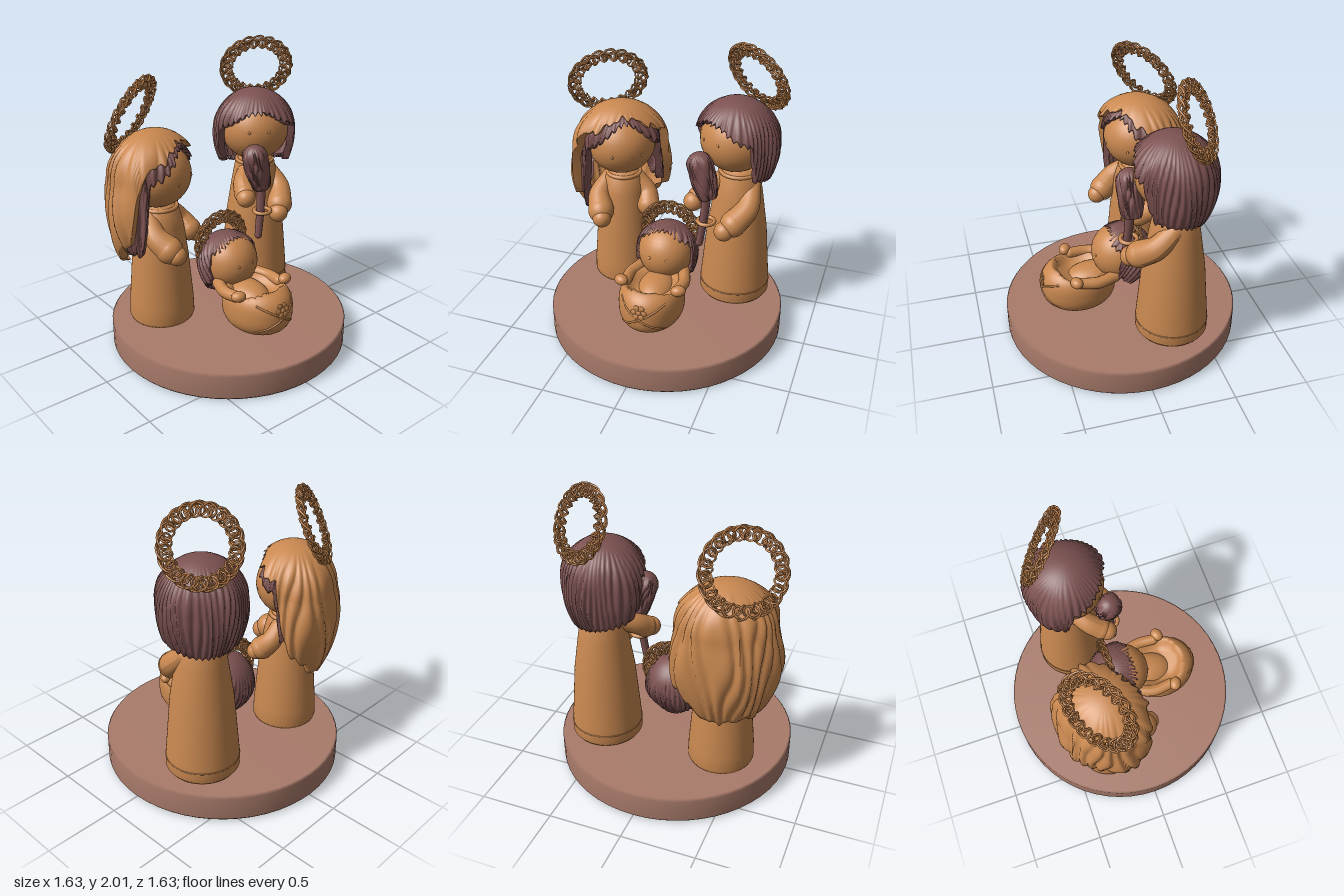
import * as THREE from 'three';

const V = (x, y, z) => new THREE.Vector3(x, y, z);
const mat = (name, color) => new THREE.MeshStandardMaterial({ name, color, side: THREE.DoubleSide });
const smooth = (x, a, b) => THREE.MathUtils.smoothstep(x, a, b);

export function createModel() {
  const model = new THREE.Group();
  model.name = 'familyFigurines';
  const clay = mat('warm clay', 0xc98850);
  const hairMat = mat('plum brown hair', 0x7b5150);
  const baseMat = mat('dusty brown base', 0xa97b6b);

  const add = (parent, name, geo, m, x = 0, y = 0, z = 0) => {
    const mesh = new THREE.Mesh(geo, m);
    mesh.name = name;
    mesh.position.set(x, y, z);
    parent.add(mesh);
    return mesh;
  };
  const group = (name, x, y, z, yaw = 0, pitch = 0) => {
    const g = new THREE.Group();
    g.name = name;
    g.position.set(x, y, z);
    g.rotation.set(pitch, yaw, 0, 'YXZ');
    model.add(g);
    return g;
  };
  const ball = (parent, name, m, r, x, y, z, sx = 1, sy = 1, sz = 1) => {
    const b = add(parent, name, new THREE.SphereGeometry(r, 32, 20), m, x, y, z);
    b.scale.set(sx, sy, sz);
    return b;
  };
  const lathe = (pts) => new THREE.LatheGeometry(pts.map(p => new THREE.Vector2(...p)), 56);

  // Tapered tube with rounded ends
  const limb = (parent, name, m, pts, r0, r1) => {
    const curve = new THREE.CatmullRomCurve3(pts);
    const sides = 16, geo = new THREE.TubeGeometry(curve, 14, 1, sides);
    const pos = geo.attributes.position, p = V();
    for (let i = 0; i < pos.count; i++) {
      const u = Math.floor(i / (sides + 1)) / 14, c = curve.getPointAt(u);
      p.fromBufferAttribute(pos, i).sub(c).multiplyScalar(r0 + (r1 - r0) * u).add(c);
      pos.setXYZ(i, p.x, p.y, p.z);
    }
    geo.computeVertexNormals();
    add(parent, name, geo, m);
    ball(parent, name + 'Start', m, r0, ...pts[0].toArray());
    ball(parent, name + 'End', m, r1, ...pts.at(-1).toArray());
  };

  // Domed sheet hanging from a crown; hem(phi) is how far it reaches, phi = 0 is the front
  const drape = (r, hem, flare, ripple, strands) => {
    const cols = 180, rows = 30, geo = new THREE.PlaneGeometry(1, 1, cols, rows);
    const pos = geo.attributes.position, uv = geo.attributes.uv;
    for (let i = 0; i < pos.count; i++) {
      const phi = (uv.getX(i) - 0.5) * Math.PI * 2;
      const k = Math.round((1 - uv.getY(i)) * rows);
      const a = hem(phi) * Math.min(1, k / (rows - 1)), d = Math.max(0, a - Math.PI / 2);
      const turn = strands * phi / 2 + 1.5 * Math.sin(3 * phi + a) + 0.9 * Math.sin(7 * phi - 2 * a);
      const wave = Math.abs(Math.sin(turn)) - 0.6 + 0.3 * Math.sin(5 * phi + 2 * a);
      let rad = r * (d > 0 ? flare(d) : Math.sin(a)) * (1 + ripple * wave * smooth(a, 0.1, 1.3));
      if (k === rows) rad *= 0.82; // tucked-under edge
      pos.setXYZ(i, Math.sin(phi) * rad, d > 0 ? -d * r : r * Math.cos(a), Math.cos(phi) * rad);
    }
    geo.computeVertexNormals();
    return geo;
  };

  // Ring of looping wire
  class LoopedRing extends THREE.Curve {
    constructor(R, c, n, phase) { super(); Object.assign(this, { R, c, n, phase }); }
    getPoint(t, out = V()) {
      const a = t * Math.PI * 2, w = a * this.n + this.phase;
      const r = this.R + this.c * Math.cos(w), b = a + (this.c / this.R) * 1.1 * Math.sin(w);
      return out.set(r * Math.cos(b), r * Math.sin(b), this.c * 0.5 * Math.sin(2 * w + this.phase));
    }
  }
  const halo = (name, R, x, y, z, yaw, pitch) => {
    const g = group(name, x, y, z, yaw, pitch);
    [[19, 0, 0.043], [19, Math.PI, 0.038], [23, 1.3, 0.03]].forEach(([n, phase, c], i) =>
      add(g, 'haloWire' + i, new THREE.TubeGeometry(new LoopedRing(R, c, n, phase), n * 18, 0.0065, 5, true), clay));
  };
  const eyes = (head, r, x, y) => [-1, 1].forEach(s =>
    ball(head, 'eye', clay, 0.01, s * x, y, Math.sqrt(r * r - x * x - y * y), 1, 1.1, 0.6));
  const ring = (name, r, t, x, y, z) => {
    const c = add(model, name, new THREE.TorusGeometry(r, t, 8, 48), clay, x, y, z);
    c.rotation.x = Math.PI / 2;
  };

  // Round base
  add(model, 'base', lathe([[0, 0], [0.8, 0], [0.813, 0.015], [0.813, 0.17], [0.8, 0.187], [0, 0.188]]), baseMat);

  // Woman: robe, sleeves and hands
  add(model, 'womanRobe', lathe([[0, 0.19], [0.21, 0.19], [0.222, 0.215], [0.218, 0.32], [0.19, 0.65],
    [0.16, 0.88], [0.135, 0.98], [0.09, 1.03], [0, 1.05]]), clay, -0.405, 0, -0.23);
  ring('womanCollar', 0.115, 0.014, -0.4, 1.0, -0.23);
  limb(model, 'womanRightSleeve', clay, [V(-0.5, 0.95, -0.2), V(-0.53, 0.86, -0.09), V(-0.485, 0.785, 0)], 0.058, 0.09);
  ball(model, 'womanRightHand', clay, 0.065, -0.46, 0.755, 0.05);
  limb(model, 'womanLeftSleeve', clay, [V(-0.3, 0.95, -0.25), V(-0.23, 0.86, -0.24), V(-0.2, 0.79, -0.18)], 0.058, 0.08);
  ball(model, 'womanLeftHand', clay, 0.058, -0.17, 0.765, -0.15);

  // Woman: head, parted hair and veil
  const womanHead = group('womanHead', -0.41, 1.225, -0.23, 0.56);
  ball(womanHead, 'womanFace', clay, 0.225, 0, 0, 0, 1.04, 0.96, 1);
  eyes(womanHead, 0.224, 0.1, -0.02);
  add(womanHead, 'womanHair', drape(0.262, p => {
    const a = Math.abs(p);
    return 0.76 + 0.75 * smooth(a, 0, 1.2) + (p > 0 ? 1.25 : 1.9) * smooth(a, 1.2, 1.5)
      - (p > 0 ? 0.5 : 1.1) * smooth(a, 1.9, 2.4) + 0.06 * Math.sin(p * 31);
  }, d => 1 + 0.2 * d - 0.1 * d * d, 0.08, 40), hairMat, 0, 0.005, -0.015);
  const veil = add(womanHead, 'womanVeil', drape(0.284, p => {
    const a = Math.abs(p);
    return 0.66 + 0.5 * smooth(a, 0, 1.2) + 1.75 * smooth(a, 1.2, 1.75) + 0.65 * smooth(a, 1.7, 2.5)
      + 0.05 * Math.sin(p * 14) + 0.04 * Math.sin(p * 23);
  }, d => 1 + 0.27 * d - 0.19 * d * d, 0.08, 22), clay, 0, 0, -0.02);
  veil.scale.set(1.14, 1.04, 1);
  halo('womanHalo', 0.23, -0.53, 1.625, -0.315, 0.56, 0.42);

  // Man: robe, sleeves and hands
  add(model, 'manRobe', lathe([[0, 0.2], [0.225, 0.2], [0.243, 0.225], [0.24, 0.32], [0.205, 0.72],
    [0.165, 0.98], [0.14, 1.12], [0.1, 1.18], [0, 1.2]]), clay, 0.43, 0, -0.24);
  ring('manHemSeam', 0.24, 0.005, 0.43, 0.29, -0.24);
  ring('manCollar', 0.125, 0.013, 0.425, 1.14, -0.24);
  limb(model, 'manLeftSleeve', clay, [V(0.525, 1.04, -0.2), V(0.53, 0.94, -0.09), V(0.46, 0.86, 0)], 0.065, 0.088);
  ball(model, 'manLeftHand', clay, 0.066, 0.41, 0.82, 0.045);
  limb(model, 'manRightSleeve', clay, [V(0.32, 1.07, -0.21), V(0.24, 1.03, -0.14), V(0.2, 0.98, -0.07)], 0.06, 0.075);
  ball(model, 'manRightHand', clay, 0.065, 0.175, 0.965, -0.03);

  // Man: head and bobbed hair
  const manHead = group('manHead', 0.405, 1.385, -0.22, -0.56);
  ball(manHead, 'manFace', clay, 0.23, 0, 0, 0.01, 1.02, 0.97, 1);
  eyes(manHead, 0.238, 0.065, 0.025);
  add(manHead, 'manHair', drape(0.277, p => {
    const a = Math.abs(p);
    return 0.98 + 0.4 * smooth(a, 0.1, 1.1) + 1.0 * smooth(a, 1.1, 1.4) + 0.25 * smooth(a, 1.4, 2.8)
      + 0.05 * Math.sin(p * 37);
  }, d => 1 + 0.08 * d - 0.27 * d * d, 0.07, 44), hairMat);
  halo('manHalo', 0.208, 0.505, 1.772, -0.325, -0.56, 0.42);

  // Staff with a broad ribbed head
  limb(model, 'staffPole', hairMat, [V(0.24, 0.69, 0.03), V(0.265, 0.88, 0.02), V(0.28, 1.08, 0.01)], 0.025, 0.032);
  const staffHead = add(model, 'staffHead', drape(0.083, () => 2.9 + Math.PI / 2,
    d => 1 + 0.06 * d - 0.05 * d * d, 0.12, 14), hairMat, 0.222, 1.263, 0);
  staffHead.rotation.z = 0.28;
  ring('staffBinding', 0.055, 0.014, 0.28, 0.86, 0.02);

  // Baby: plump wrapped blanket with a sunken top
  const c = V(0, 0.365, 0.305), rad = V(0.218, 0.178, 0.262), plump = 2.7;
  const wrap = new THREE.SphereGeometry(1, 56, 40), wp = wrap.attributes.position;
  for (let i = 0; i < wp.count; i++) {
    let x = wp.getX(i), y = wp.getY(i), z = wp.getZ(i);
    const s = (Math.hypot(x, z) ** plump + Math.abs(y) ** plump) ** (-1 / plump);
    x *= s; z *= s;
    y = c.y + y * s * rad.y;
    const top = 0.475 + 0.06 * smooth(z, 0.1, 0.7);
    if (y > top) y = top - 0.05 * smooth(1 - Math.hypot(x, z), 0.15, 0.5);
    wp.setXYZ(i, c.x + x * rad.x, Math.max(0.188, y), c.z + z * rad.z);
  }
  wrap.computeVertexNormals();
  add(model, 'babyBlanket', wrap, clay);

  // Crossed folds and a rosette on the blanket front
  const onWrap = (x, y) => {
    const h = (1 - Math.abs((y - c.y) / rad.y) ** plump) ** (2 / plump);
    return V(x, y, c.z + rad.z * Math.sqrt(h - (x / rad.x) ** 2));
  };
  [-1, 1].forEach(s => {
    const pts = [0, 1, 2, 3, 4, 5, 6].map(i => onWrap(s * (-0.15 + i * 0.05), 0.27 + i * 0.032));
    add(model, 'blanketFold', new THREE.TubeGeometry(new THREE.CatmullRomCurve3(pts), 24, 0.007, 6), clay);
  });
  for (let i = 0; i < 6; i++) {
    const a = i * Math.PI / 3, p = onWrap(0.034 * Math.cos(a), 0.42 + 0.034 * Math.sin(a));
    ball(model, 'rosettePetal', clay, 0.02, p.x, p.y, p.z, 1, 1, 0.4);
  }
  ball(model, 'rosetteCentre', clay, 0.018, 0, 0.42, onWrap(0, 0.42).z, 1, 1, 0.5);

  // Baby: torso, arms and hands
  ball(model, 'babyTorso', clay, 0.13, 0, 0.38, 0.2, 1, 0.8, 1.5);
  [-1, 1].forEach(s => {
    limb(model, 'babyArm', clay, [V(s * 0.15, 0.465, 0.08), V(s * 0.19, 0.465, 0.2), V(s * 0.182, 0.475, 0.32)], 0.042, 0.038);
    const hand = ball(model, 'babyHand', clay, 0.04, s * 0.2, 0.5, 0.355, 1.25, 0.9, 1);
    hand.rotation.y = s * 0.4;
  });

  // Baby: upturned head, hair and halo
  const babyHead = group('babyHead', 0, 0.565, 0, 0, -0.5);
  ball(babyHead, 'babyFace', clay, 0.193, 0, 0, 0.01);
  eyes(babyHead, 0.2, 0.06, -0.06);
  add(babyHead, 'babyHair', drape(0.212, p => {
    const a = Math.abs(p);
    return 0.92 + 0.3 * smooth(a, 0, 0.9) + 0.85 * smooth(a, 1, 1.5) + 0.3 * smooth(a, 1.5, 2.8)
      + 0.06 * Math.sin(p * 31);
  }, d => 1 - 0.28 * d * d, 0.08, 40), hairMat, 0, 0, -0.015);
  halo('babyHalo', 0.172, 0, 0.682, -0.085, 0, 0);

  return model;
}
